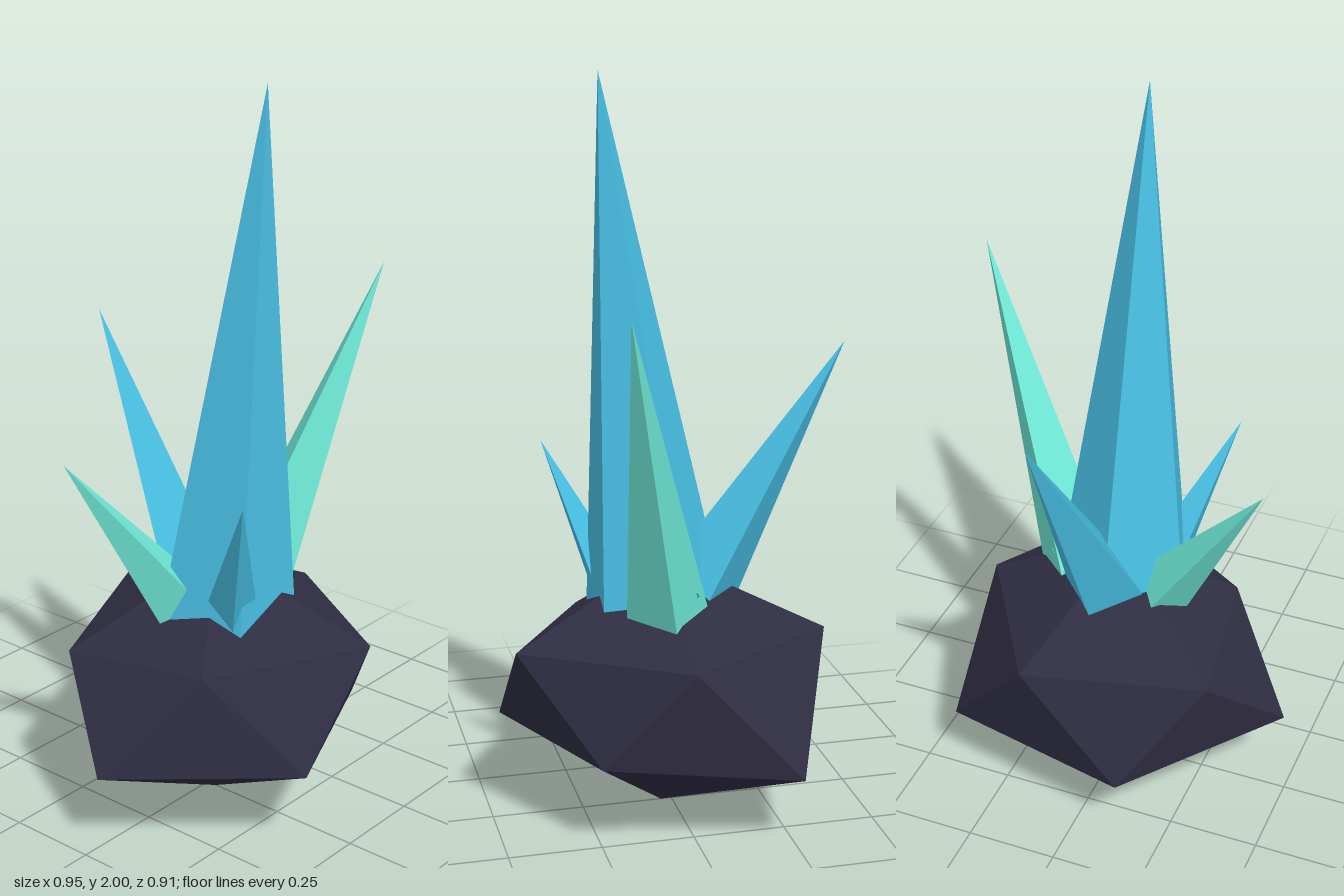
import * as THREE from 'three';

const UP = new THREE.Vector3(0, 1, 0);

function material(name, color) {
  const m = new THREE.MeshStandardMaterial({ color, flatShading: true });
  m.name = name;
  return m;
}

// Pointed crystal running from its base centre to its tip
function crystal(name, mat, base, tip, radius, sides, spin) {
  const from = new THREE.Vector3(...base);
  const axis = new THREE.Vector3(...tip).sub(from);
  const height = axis.length();
  const geo = new THREE.ConeGeometry(radius, height, sides);
  geo.rotateY(spin);
  geo.translate(0, height / 2, 0);
  geo.applyQuaternion(new THREE.Quaternion().setFromUnitVectors(UP, axis.normalize()));
  geo.translate(...base);
  const flat = geo.toNonIndexed();
  flat.computeVertexNormals();
  const mesh = new THREE.Mesh(flat, mat);
  mesh.name = name;
  return mesh;
}

// Uneven twenty-sided rock: two poles and two staggered rings of five
function rock(mat) {
  const top = [0, 0.715, 0.03];
  const bottom = [0, 0, 0.03];
  const upper = [
    [0.395, 0.52, 0.03], [0.135, 0.52, 0.45], [-0.27, 0.5, 0.21],
    [-0.33, 0.47, -0.21], [0.135, 0.52, -0.39],
  ];
  const lower = [
    [0.32, 0.25, 0.26], [-0.14, 0.245, 0.455], [-0.48, 0.23, 0.03],
    [-0.13, 0.19, -0.37], [0.4, 0.2, -0.26],
  ];
  const pos = [];
  for (let i = 0; i < 5; i++) {
    const j = (i + 1) % 5;
    pos.push(...top, ...upper[j], ...upper[i]);
    pos.push(...upper[i], ...upper[j], ...lower[i]);
    pos.push(...lower[i], ...upper[j], ...lower[j]);
    pos.push(...bottom, ...lower[i], ...lower[j]);
  }
  const geo = new THREE.BufferGeometry();
  geo.setAttribute('position', new THREE.Float32BufferAttribute(pos, 3));
  geo.computeVertexNormals();
  const mesh = new THREE.Mesh(geo, mat);
  mesh.name = 'rock';
  return mesh;
}

export function createModel() {
  const stone = material('dark stone', 0x2f2d42);
  const blue = material('blue crystal', 0x48bfe3);
  const mint = material('mint crystal', 0x72efdd);

  const group = new THREE.Group();
  group.name = 'crystalCluster';
  group.add(
    rock(stone),
    crystal('mainCrystal', blue, [0, 0.55, 0.05], [0, 2, 0.19], 0.2, 5, Math.PI),
    crystal('leftCrystal', mint, [0.113, 0.5, 0.03], [0.475, 1.46, 0.215], 0.122, 4, 0),
    crystal('backCrystal', blue, [0.012, 0.5, 0], [0.068, 1.29, -0.453], 0.132, 4, 0),
    crystal('rightCrystal', mint, [-0.045, 0.5, 0.02], [-0.432, 1.06, -0.11], 0.108, 4, 0),
    crystal('frontCrystal', blue, [-0.035, 0.5, 0.1], [-0.23, 0.99, 0.31], 0.09, 4, Math.PI / 4),
    // Small splinter beside the tall mint crystal
    crystal('splinter', blue, [0.11, 0.58, -0.03], [0.2, 0.67, -0.02], 0.05, 4, 0),
  );
  return group;
}
